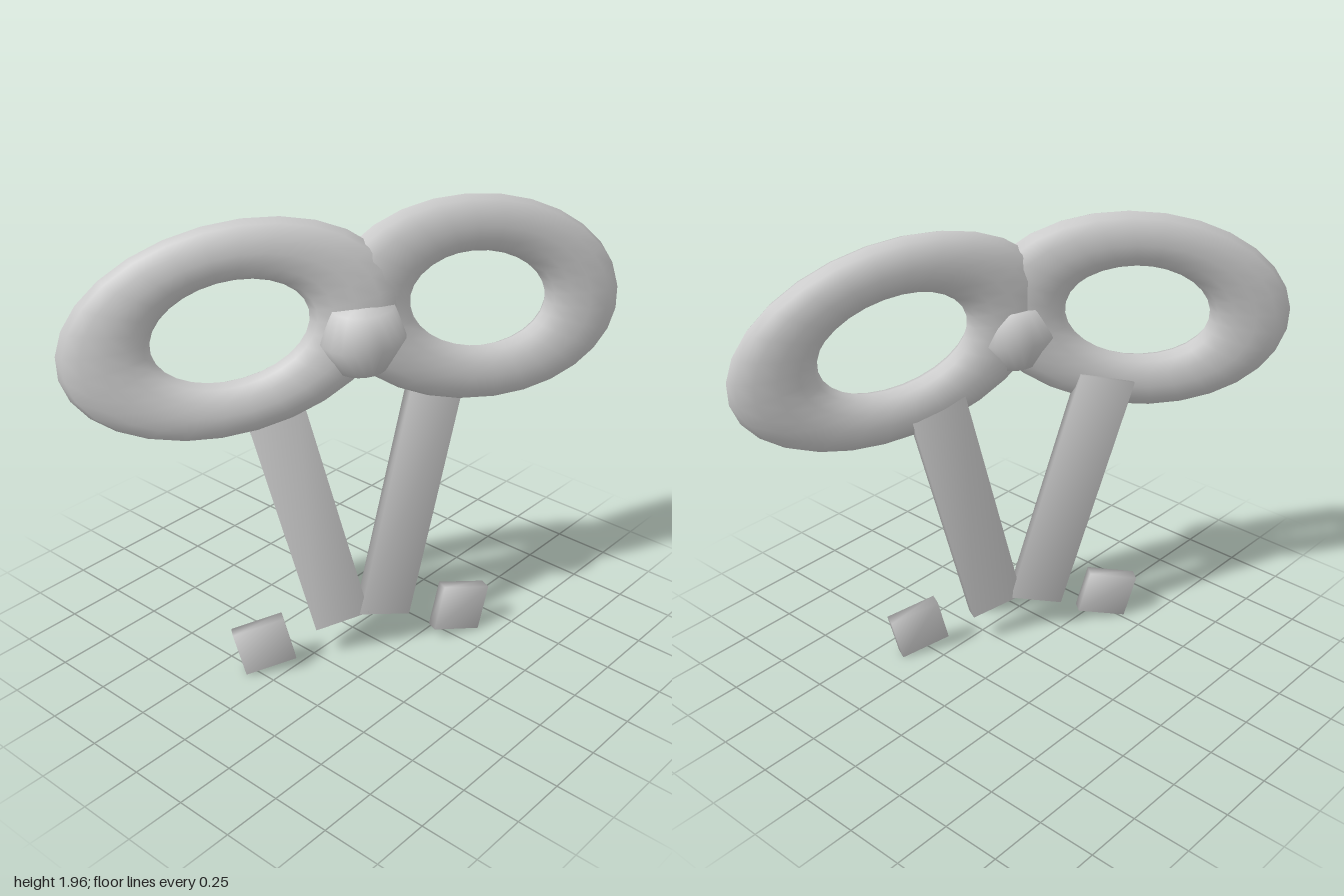
import * as THREE from 'three';
import { mergeVertices } from 'three/addons/utils/BufferGeometryUtils.js';

const material = new THREE.MeshStandardMaterial({ color: 0xcccccc });

// Box whose corners share averaged normals, for a soft ribbon look
function softBox(w, h, d) {
  const box = new THREE.BoxGeometry(w, h, d);
  box.deleteAttribute('normal');
  box.deleteAttribute('uv');
  const geometry = mergeVertices(box);
  geometry.computeVertexNormals();
  return geometry;
}

// Adds a part turned to its ribbon's heading, leaned back, then rolled outward
function addPart(group, name, geometry, position, yaw, lean, roll) {
  const mesh = new THREE.Mesh(geometry, material);
  mesh.name = name;
  mesh.position.set(...position);
  mesh.rotation.set(lean, yaw, roll, 'YXZ');
  group.add(mesh);
  return mesh;
}

export function createModel() {
  const model = new THREE.Group();
  model.name = 'bow';

  // The two halves of the bow, which meet at a slight angle at the knot
  const halves = [
    {
      name: 'front', side: -1, yaw: 0.927,
      loop: [-0.19, 1.525, 0.48], tail: [-0.03, 0.72, 0.255], tip: [-0.085, 0.125, 0.465],
    },
    {
      name: 'back', side: 1, yaw: 1.148,
      loop: [0.315, 1.525, -0.4], tail: [0.203, 0.72, -0.132], tip: [0.355, 0.125, -0.297],
    },
  ];

  for (const { name, side, yaw, loop, tail, tip } of halves) {
    // Flattened oval loop, drooping at its outer end
    const ring = new THREE.TorusGeometry(1, 0.365, 12, 28);
    ring.scale(0.486, 0.309, 0.205);
    addPart(model, name + 'Loop', ring, loop, yaw, -0.06, -0.21 * side);

    // Long flat tail and the separate tip beside it
    addPart(model, name + 'Tail', softBox(0.235, 1.13, 0.055), tail, yaw, -0.065, -0.25 * side);
    addPart(model, name + 'Tip', softBox(0.22, 0.205, 0.055), tip, yaw, -0.05, -0.24 * side);
  }

  // Knot: a squat rounded drum
  const profile = [[0, -0.14], [0.1, -0.125], [0.172, 0], [0.125, 0.13], [0, 0.145]]
    .map(([r, y]) => new THREE.Vector2(r, y));
  const knot = new THREE.LatheGeometry(profile, 20);
  knot.scale(0.93, 1, 1.07);
  addPart(model, 'knot', knot, [0.13, 1.465, 0.09], 0, 0, 0);

  return model;
}
